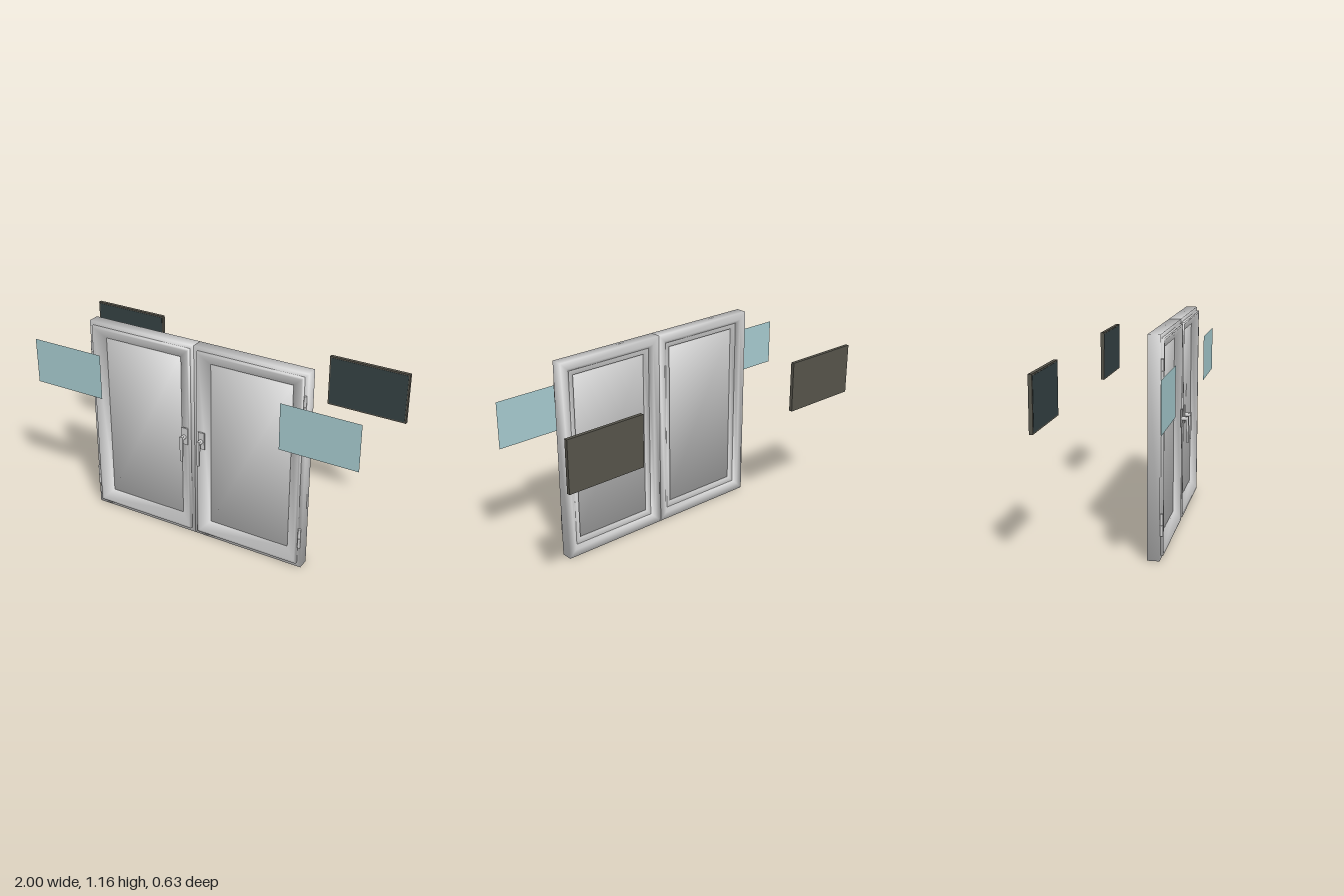
import * as THREE from 'three';
import { mergeVertices } from 'three/addons/utils/BufferGeometryUtils.js';

const mat = (name, color, side = THREE.FrontSide) => {
  const m = new THREE.MeshStandardMaterial({ color, side });
  m.name = name;
  return m;
};

// Angle-weighted normals shared across all edges, for softly shaded solids
function smooth(geo) {
  const pos = geo.attributes.position, idx = geo.index;
  const sums = Array.from({ length: pos.count }, () => new THREE.Vector3());
  const at = (i) => new THREE.Vector3().fromBufferAttribute(pos, i);
  for (let t = 0; t < idx.count; t += 3) {
    const ids = [0, 1, 2].map((k) => idx.getX(t + k));
    const p = ids.map(at);
    const n = p[1].clone().sub(p[0]).cross(p[2].clone().sub(p[0])).normalize();
    ids.forEach((id, k) => {
      const e1 = p[(k + 1) % 3].clone().sub(p[k]), e2 = p[(k + 2) % 3].clone().sub(p[k]);
      sums[id].addScaledVector(n, e1.angleTo(e2));
    });
  }
  const normals = sums.flatMap((v) => v.normalize().toArray());
  geo.setAttribute('normal', new THREE.Float32BufferAttribute(normals, 3));
  return geo;
}

// Mitred rectangular ring; profile points are [inset from the outer edge, z]
function ring(halfW, halfH, profile) {
  const n = profile.length, verts = [], index = [];
  for (const [sx, sy] of [[1, 1], [-1, 1], [-1, -1], [1, -1]])
    for (const [d, z] of profile) verts.push(sx * (halfW - d), sy * (halfH - d), z);
  for (let k = 0; k < 4; k++) {
    for (let i = 0; i < n; i++) {
      const j = (i + 1) % n, next = ((k + 1) % 4) * n;
      const a = k * n + i, b = k * n + j, c = next + i, d = next + j;
      index.push(a, b, c, b, d, c);
    }
  }
  const geo = new THREE.BufferGeometry();
  geo.setAttribute('position', new THREE.Float32BufferAttribute(verts, 3));
  geo.setIndex(index);
  return smooth(geo);
}

// Box with shared corners, so its faces shade as one soft form
function softBox(w, h, d) {
  const geo = new THREE.BoxGeometry(w, h, d);
  geo.deleteAttribute('normal');
  geo.deleteAttribute('uv');
  return smooth(mergeVertices(geo));
}

export function createModel() {
  const grey = mat('windowGrey', 0xcfcfcf);
  const brown = mat('panelBrown', 0x55534a);
  const darkTeal = mat('panelFaceTeal', 0x344143);
  const blue = mat('sheetBlue', 0xa5c9cd, THREE.DoubleSide);

  const model = new THREE.Group();
  const add = (parent, name, geo, material, x, y, z) => {
    const mesh = new THREE.Mesh(geo, material);
    mesh.name = name;
    mesh.position.set(x, y, z);
    parent.add(mesh);
    return mesh;
  };

  // Two casement halves, each with frame, sash, pane, hinges and handle
  const midX = 0.0125, halfW = 0.331, midY = 0.58;
  const frameGeo = ring(halfW, 0.58, [[0, 0.19], [0.04, 0.19], [0.06, 0.205], [0.06, 0.255], [0, 0.255]]);
  const sashGeo = ring(0.309, 0.557, [[0, 0.21], [0.068, 0.21], [0.068, 0.24], [0.012, 0.27], [0, 0.27]]);
  const paneGeo = softBox(0.486, 0.99, 0.012);
  const hingeGeo = new THREE.CylinderGeometry(0.008, 0.008, 0.058, 12);

  // Lever narrows and thins towards its lower end
  const leverGeo = new THREE.BoxGeometry(0.02, 0.15, 0.014);
  const lp = leverGeo.attributes.position;
  for (let i = 0; i < lp.count; i++) {
    if (lp.getY(i) < 0) {
      lp.setX(i, lp.getX(i) * 0.7);
      if (lp.getZ(i) < 0) lp.setZ(i, -0.001);
    }
  }
  leverGeo.computeVertexNormals();
  const stemGeo = new THREE.CylinderGeometry(0.012, 0.012, 0.034, 16).rotateX(Math.PI / 2);

  for (const side of [-1, 1]) {
    const half = new THREE.Group();
    half.name = side > 0 ? 'leftCasement' : 'rightCasement';
    half.position.x = midX + side * halfW;
    model.add(half);
    add(half, 'outerFrame', frameGeo, grey, 0, midY, 0);
    add(half, 'sash', sashGeo, grey, 0, midY + 0.002, 0);
    add(half, 'pane', paneGeo, grey, 0, midY + 0.002, 0.228);
    for (const y of [0.16, 0.22, 0.95, 1.01])
      add(half, 'hinge', hingeGeo, grey, side * 0.319, y, 0.262);

    const handle = new THREE.Group();
    handle.name = 'handle';
    handle.position.x = -side * 0.278;
    half.add(handle);
    add(handle, 'handlePlate', new THREE.BoxGeometry(0.04, 0.1, 0.008), grey, 0, 0.62, 0.272);
    add(handle, 'handleStem', stemGeo, grey, 0, 0.617, 0.29);
    add(handle, 'handleLever', leverGeo, grey, 0, 0.555, 0.304);
  }

  // Dark panels behind and pale sheets in front, one pair on each side
  for (const side of [-1, 1]) {
    add(model, 'rearPanel', new THREE.BoxGeometry(0.46, 0.29, 0.02), brown, side * 0.769, 0.86, -0.305);
    add(model, 'rearPanelFace', new THREE.BoxGeometry(0.444, 0.274, 0.002), darkTeal, side * 0.769, 0.86, -0.2945);
    add(model, 'frontSheet', new THREE.PlaneGeometry(0.442, 0.264), blue, side * 0.772, 0.863, 0.315);
  }
  return model;
}
